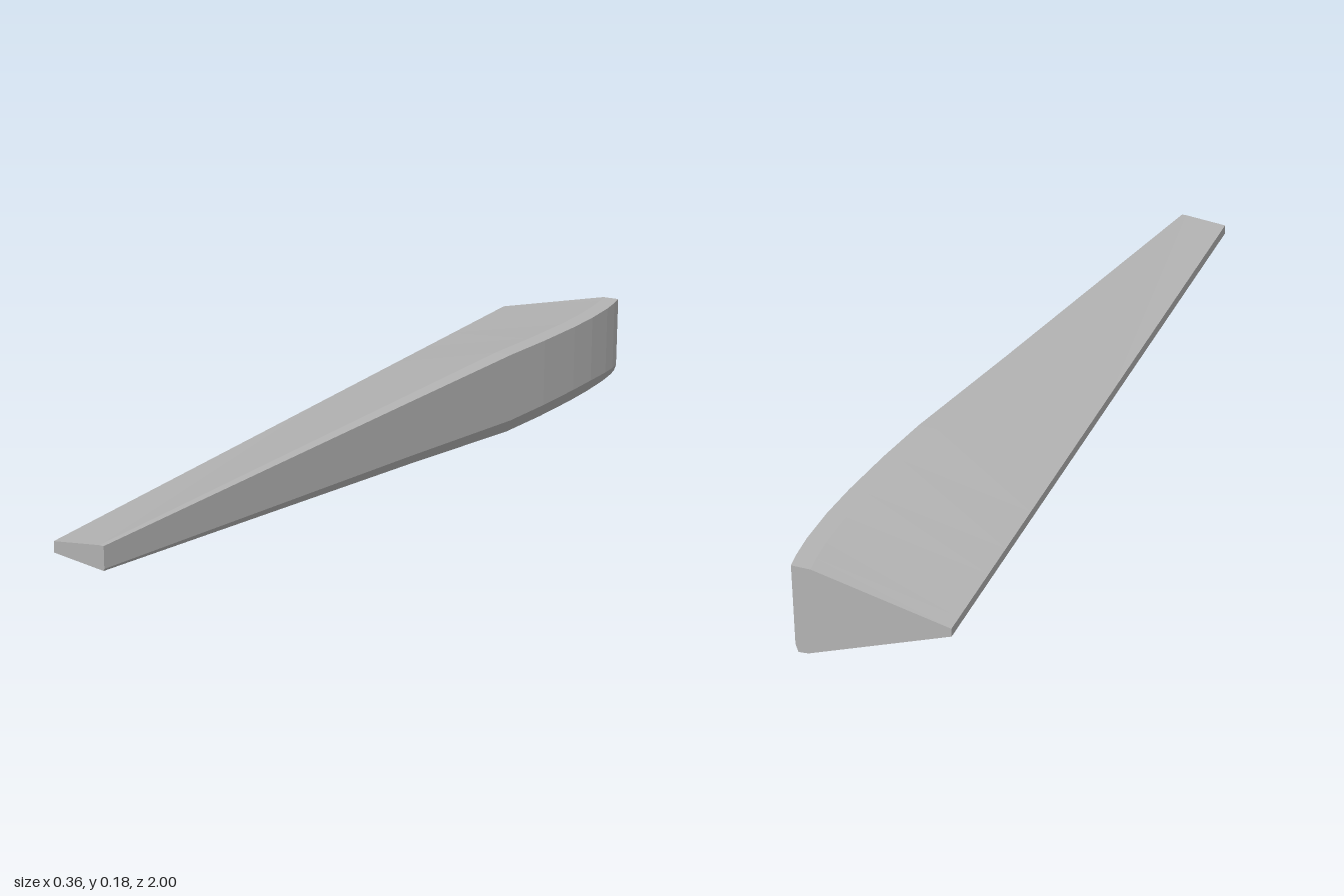
import * as THREE from 'three';

// One cross-section, counter-clockwise as seen from the tip (+z).
// left/right: x limits, edge: y range of the thin edge, low/high: y range of the thick spine
function section({ z, right, low, high, bevel }) {
  const t = (1 - z) / 2;
  const left = 0.005 - 0.183 * t;
  const edgeLow = 0.103 + 0.002 * t, edgeHigh = 0.125 - 0.004 * t;
  const inset = 0.04 * (high - low) / 0.181;
  const lowMid = right - inset * 0.65;
  return [
    [left, edgeLow, z],
    [lowMid, low + bevel * 0.1, z],
    [right - bevel / 3, low, z],
    [right, low + bevel, z],
    [right, high, z],
    [right - inset, high - bevel * 0.01, z],
    [left, edgeHigh, z],
  ];
}

// Skin between neighbouring sections, with a cap at each end
function loft(rings) {
  const pos = [];
  const tri = (a, b, c) => pos.push(...a, ...b, ...c);
  const n = rings[0].length;
  for (let i = 0; i < rings.length - 1; i++) {
    const a = rings[i], b = rings[i + 1];
    for (let j = 0; j < n; j++) {
      const k = (j + 1) % n;
      tri(a[j], b[j], b[k]);
      tri(a[j], b[k], a[k]);
    }
  }
  const first = rings[0], last = rings[rings.length - 1];
  for (let j = 1; j < n - 1; j++) {
    tri(first[0], first[j], first[j + 1]);
    tri(last[0], last[j + 1], last[j]);
  }
  const geo = new THREE.BufferGeometry();
  geo.setAttribute('position', new THREE.Float32BufferAttribute(pos, 3));
  geo.computeVertexNormals();
  return geo;
}

export function createModel() {
  const group = new THREE.Group();
  group.name = 'taperedBlade';
  const grey = new THREE.MeshStandardMaterial({ color: 0xb4b4b4 });
  grey.name = 'plain grey';

  // Stations from the narrow tip to the rounded butt: z, spine x, bottom, top, bevel
  const stations = [
    [1, 0.119, 0.09, 0.137, 0.004],
    [0, 0.156, 0.028, 0.168, 0.02],
    [-0.4, 0.173, 0.001, 0.181, 0.027],
    [-0.55, 0.177, 0, 0.181, 0.028],
    [-0.7, 0.176, 0, 0.181, 0.028],
    [-0.8, 0.171, 0, 0.181, 0.027],
    [-0.9, 0.16, 0, 0.181, 0.022],
    [-0.96, 0.149, 0, 0.181, 0.018],
    [-1, 0.139, 0, 0.181, 0.016],
  ];
  const rings = stations.map(([z, right, low, high, bevel]) => section({ z, right, low, high, bevel }));
  const blade = new THREE.Mesh(loft(rings), grey);
  blade.name = 'blade';
  group.add(blade);
  return group;
}
